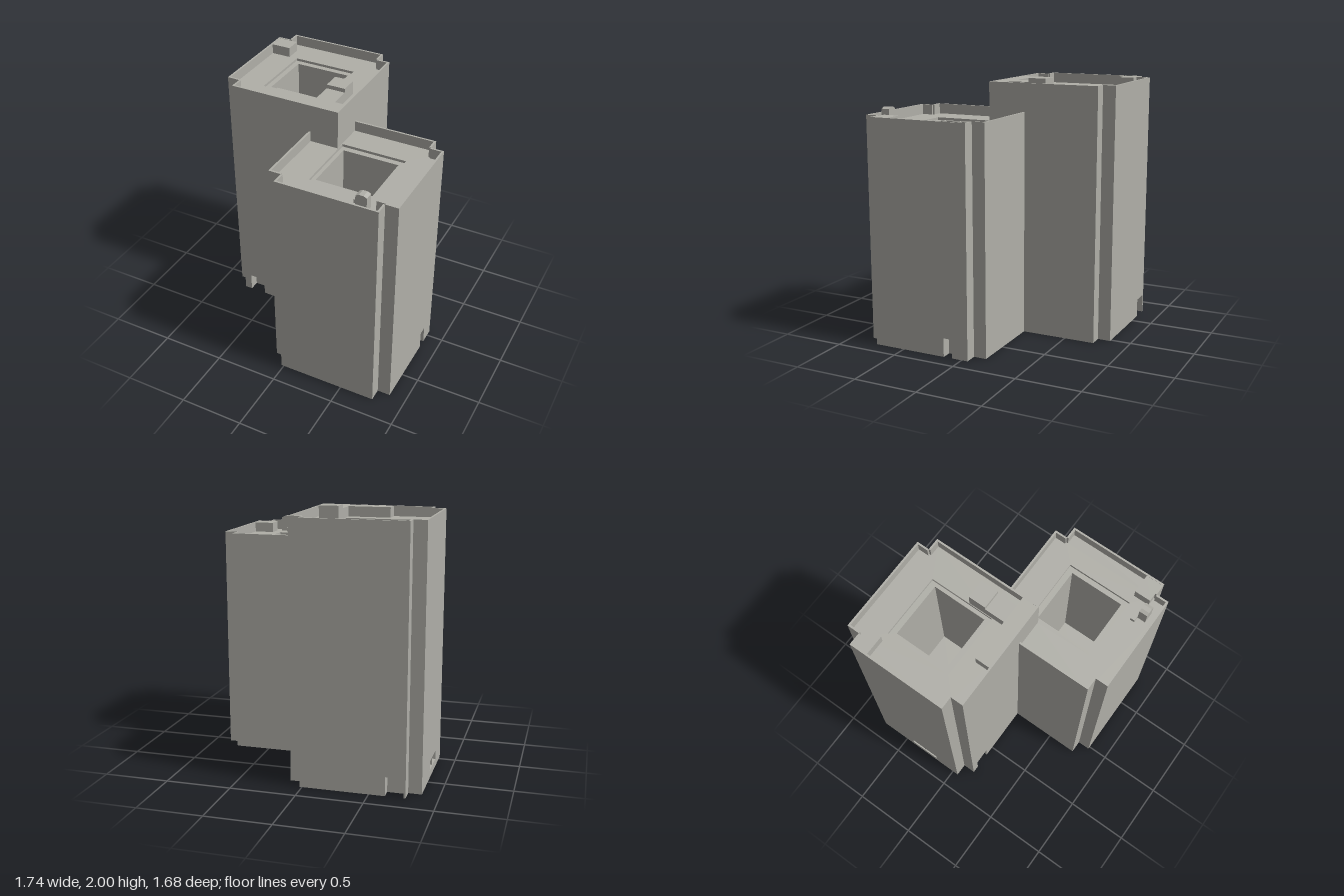
import * as THREE from 'three';

const T = 0.015;      // wall thickness
const DROP = 0.08;    // roof level below the parapet top

export function createModel() {
  const model = new THREE.Group();
  model.name = 'twinTowers';
  const concrete = new THREE.MeshStandardMaterial({ color: 0xb0afa8, side: THREE.DoubleSide });
  concrete.name = 'concreteGrey';

  const add = (parent, name, geometry) => {
    const mesh = new THREE.Mesh(geometry, concrete);
    mesh.name = name;
    parent.add(mesh);
    return mesh;
  };

  // Box given by its limits on each axis
  const box = (parent, name, x0, x1, y0, y1, z0, z1) => {
    const mesh = add(parent, name, new THREE.BoxGeometry(x1 - x0, y1 - y0, z1 - z0));
    mesh.position.set((x0 + x1) / 2, (y0 + y1) / 2, (z0 + z1) / 2);
  };

  const rectPath = (x0, x1, y0, y1) => new THREE.Path([
    new THREE.Vector2(x0, y0), new THREE.Vector2(x0, y1),
    new THREE.Vector2(x1, y1), new THREE.Vector2(x1, y0)]);

  // Horizontal slab from an outline in x and z, with one rectangular hole
  const slab = (parent, name, outline, hole, y, thickness) => {
    const shape = new THREE.Shape(outline.map(([x, z]) => new THREE.Vector2(x, -z)));
    shape.holes.push(rectPath(hole[0], hole[1], -hole[3], -hole[2]));
    const geometry = new THREE.ExtrudeGeometry(shape, { depth: thickness, bevelEnabled: false });
    geometry.rotateX(-Math.PI / 2);
    add(parent, name, geometry).position.y = y - thickness;
  };

  // Upright wall from a to b; openings are [s0, s1, y0, y1] along the wall
  const wall = (parent, a, b, y0, y1, openings = []) => {
    const dx = b[0] - a[0], dz = b[1] - a[1], length = Math.hypot(dx, dz);
    const group = new THREE.Group();
    group.name = 'wall';
    group.position.set(a[0], 0, a[1]);
    group.rotation.y = -Math.atan2(dz, dx);
    parent.add(group);
    const shape = new THREE.Shape();
    shape.moveTo(0, y0);
    for (const [s0, s1, b0, b1] of openings) {
      if (b0 > 0) { shape.holes.push(rectPath(s0, s1, b0, b1)); continue; }
      shape.lineTo(s0, y0);
      shape.lineTo(s0, b1);
      shape.lineTo(s1, b1);
      shape.lineTo(s1, y0);
    }
    shape.lineTo(length, y0);
    shape.lineTo(length, y1);
    shape.lineTo(0, y1);
    add(group, 'wallPanel', new THREE.ExtrudeGeometry(shape, { depth: T, bevelEnabled: false }));

    // Alcove behind each opening
    const e = 0.004, depth = 0.08;
    for (const [s0, s1, b0, b1] of openings) {
      box(group, 'alcoveBack', s0 - e, s1 + e, b0, b1 + e, depth, depth + e);
      box(group, 'alcoveTop', s0 - e, s1 + e, b1, b1 + e, T, depth);
      box(group, 'alcoveSide', s0 - e, s0, b0, b1, T, depth);
      box(group, 'alcoveSide', s1, s1 + e, b0, b1, T, depth);
      if (b0 > 0) {
        const mid = (s0 + s1) / 2;
        box(group, 'alcoveSill', s0 - e, s1 + e, b0 - e, b0, T, depth);
        box(group, 'windowDivider', mid - e, mid + e, b0, b1, 0.005, depth);
      }
    }
  };

  // Notched outline of one tower, without the corner shared by both
  const path = [
    [0.115, -0.15], [0.77, -0.15], [0.77, -0.05], [0.87, -0.05], [0.87, 0.74], [0.77, 0.74],
    [0.77, 0.84], [-0.02, 0.84], [-0.02, 0.74], [-0.12, 0.74], [-0.12, 0.15]];

  // Tower shell, roof, courtyard shaft and corner hut; openings are keyed by wall number
  const tower = (name, height, innerCorner, openings) => {
    const group = new THREE.Group();
    group.name = name;
    model.add(group);
    for (let i = 0; i < path.length - 1; i++) {
      wall(group, path[i], path[i + 1], 0, height, openings[i]);
    }
    const roof = height - DROP, ledge = roof - 0.02, floor = roof - 1, e = 0.01;
    const [x0, x1, z0, z1] = [0.155, 0.595, 0.125, 0.56];
    const ring = [0.125, 0.635, 0.08, 0.605];
    slab(group, 'roof', [...path, innerCorner], ring, roof, 0.02);
    slab(group, 'shaftLedge', [[ring[0], ring[2]], [ring[1], ring[2]], [ring[1], ring[3]], [ring[0], ring[3]]],
      [x0, x1, z0, z1], ledge, e);
    box(group, 'shaftWall', x0 - e, x0, floor, ledge - e, z0 - e, z1 + e);
    box(group, 'shaftWall', x1, x1 + e, floor, ledge - e, z0 - e, z1 + e);
    box(group, 'shaftWall', x0, x1, floor, ledge - e, z0 - e, z0);
    box(group, 'shaftWall', x0, x1, floor, ledge - e, z1, z1 + e);
    box(group, 'shaftFloor', x0 - e, x1 + e, floor - e, floor, z0 - e, z1 + e);
    box(group, 'cornerHut', 0.70, 0.856, roof, height - 0.002, 0.60, 0.727);
    return group;
  };

  // Lower tower at the front, with a side door
  const low = 1.75, high = 1.97;
  tower('lowerTower', low, [0.115, 0.15], { 3: [[0.13, 0.20, 0, 0.145]] });

  // Taller tower at the back, turned half round, with two doors and a window
  const tall = tower('tallerTower', high, [-0.12, -0.15], {
    0: [[0.465, 0.595, 0, 0.145]],
    3: [[0.22, 0.47, 0.06, 0.13]],
    6: [[0.015, 0.15, 0, 0.145]],
  });
  tall.rotation.y = Math.PI;
  // Upper walls of the shared corner
  wall(tall, [-0.12, 0.15], [-0.12, -0.15], low - DROP - 0.03, high);
  wall(tall, [-0.12, -0.15], [0.115, -0.15], low - DROP - 0.03, high);

  // Raised corner and stair head on the taller roof
  const highRoof = high - DROP;
  box(model, 'raisedCorner', -0.45, 0.11, highRoof, high - 0.001, 0.02, 0.14);
  box(model, 'raisedPassage', -0.12, 0.03, highRoof, high - 0.001, -0.14, 0.02);
  box(model, 'stairHead', -0.12, 0.03, highRoof, 2, -0.28, -0.14);

  // Chimney with a bevelled top, and a small vent, on the lower roof
  const lowRoof = low - DROP;
  const profile = new THREE.Shape([
    [0.57, lowRoof], [0.655, lowRoof], [0.655, 1.785], [0.63, 1.797], [0.595, 1.797], [0.57, 1.785],
  ].map(([x, y]) => new THREE.Vector2(x, y)));
  add(model, 'chimney', new THREE.ExtrudeGeometry(profile, { depth: 0.065, bevelEnabled: false }))
    .position.z = 0.715;
  box(model, 'roofVent', 0.525, 0.60, lowRoof, lowRoof + 0.03, 0.68, 0.715);

  return model;
}
